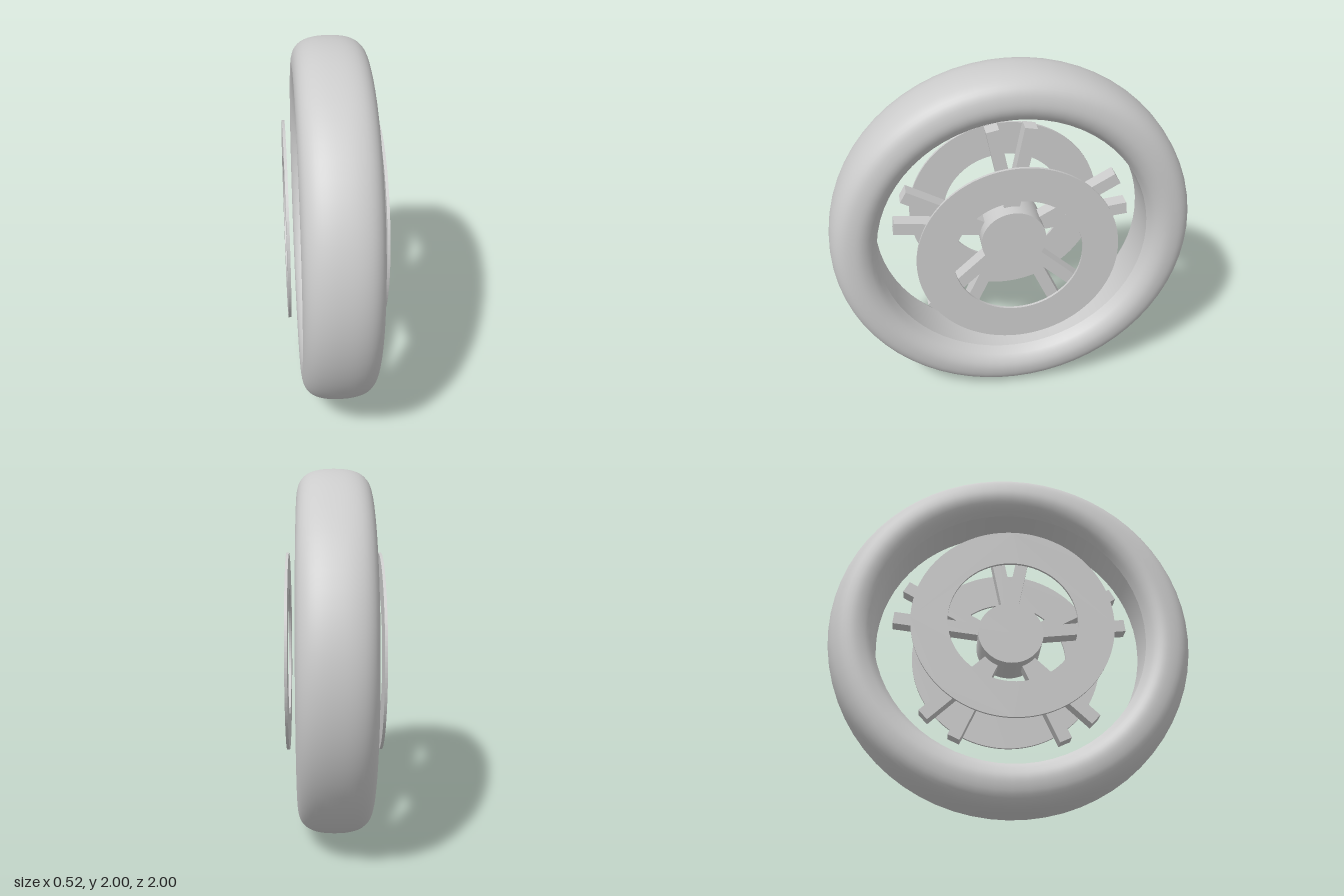
import * as THREE from 'three';

export function createModel() {
  const model = new THREE.Group();
  const grey = new THREE.MeshStandardMaterial({ color: 0xcccccc });
  grey.name = 'light grey';

  // The wheel's axle runs along x, at height 1.
  const wheel = new THREE.Group();
  wheel.name = 'wheel';
  wheel.position.y = 1;
  model.add(wheel);

  const add = (name, geometry, parent = wheel) => {
    const mesh = new THREE.Mesh(geometry, grey);
    mesh.name = name;
    parent.add(mesh);
    return mesh;
  };

  // Tyre: half profile as [radius, offset], mirrored about the middle plane.
  const half = [[0.748, 0.115], [0.776, 0.165], [0.82, 0.194], [0.87, 0.2],
    [0.93, 0.184], [0.972, 0.143], [0.994, 0.08]];
  const points = [
    ...half.map(([r, w]) => new THREE.Vector2(r, -w)),
    new THREE.Vector2(1, 0),
    ...half.slice().reverse().map(([r, w]) => new THREE.Vector2(r, w)),
  ];
  const profile = new THREE.SplineCurve(points).getPoints(42);
  add('tyre', new THREE.LatheGeometry(profile, 64).rotateZ(-Math.PI / 2));

  // Inner face of the tyre, a separate surface so its edge stays sharp.
  const inner = [new THREE.Vector2(0.748, 0.115), new THREE.Vector2(0.748, -0.115)];
  add('tyreInnerFace', new THREE.LatheGeometry(inner, 64).rotateZ(-Math.PI / 2));

  // Hub
  add('hub', new THREE.CylinderGeometry(0.18, 0.18, 0.22, 48).rotateZ(Math.PI / 2));

  // Five pairs of bars spreading in a V from the hub.
  const barLength = 0.56;
  for (let i = 0; i < 5; i++) {
    const pair = new THREE.Group();
    pair.name = 'spokePair';
    pair.rotation.x = (i * Math.PI * 2) / 5;
    wheel.add(pair);
    for (const side of [-1, 1]) {
      const bar = add('spokeBar', new THREE.BoxGeometry(0.08, barLength, 0.07), pair);
      bar.position.set(0, 0.375, side * 0.048);
      bar.rotation.x = side * 0.197;
    }
  }

  // Flat brake disc on each side.
  const disc = new THREE.Shape().absarc(0, 0, 0.547, 0, Math.PI * 2, false);
  disc.holes.push(new THREE.Path().absarc(0, 0, 0.35, 0, Math.PI * 2, true));
  const discGeometry = new THREE.ExtrudeGeometry(disc, {
    depth: 0.015, bevelEnabled: false, curveSegments: 64,
  }).translate(0, 0, -0.0075).rotateY(Math.PI / 2);
  for (const side of [-1, 1]) {
    add(side > 0 ? 'leftBrakeDisc' : 'rightBrakeDisc', discGeometry).position.x = side * 0.253;
  }

  return model;
}
